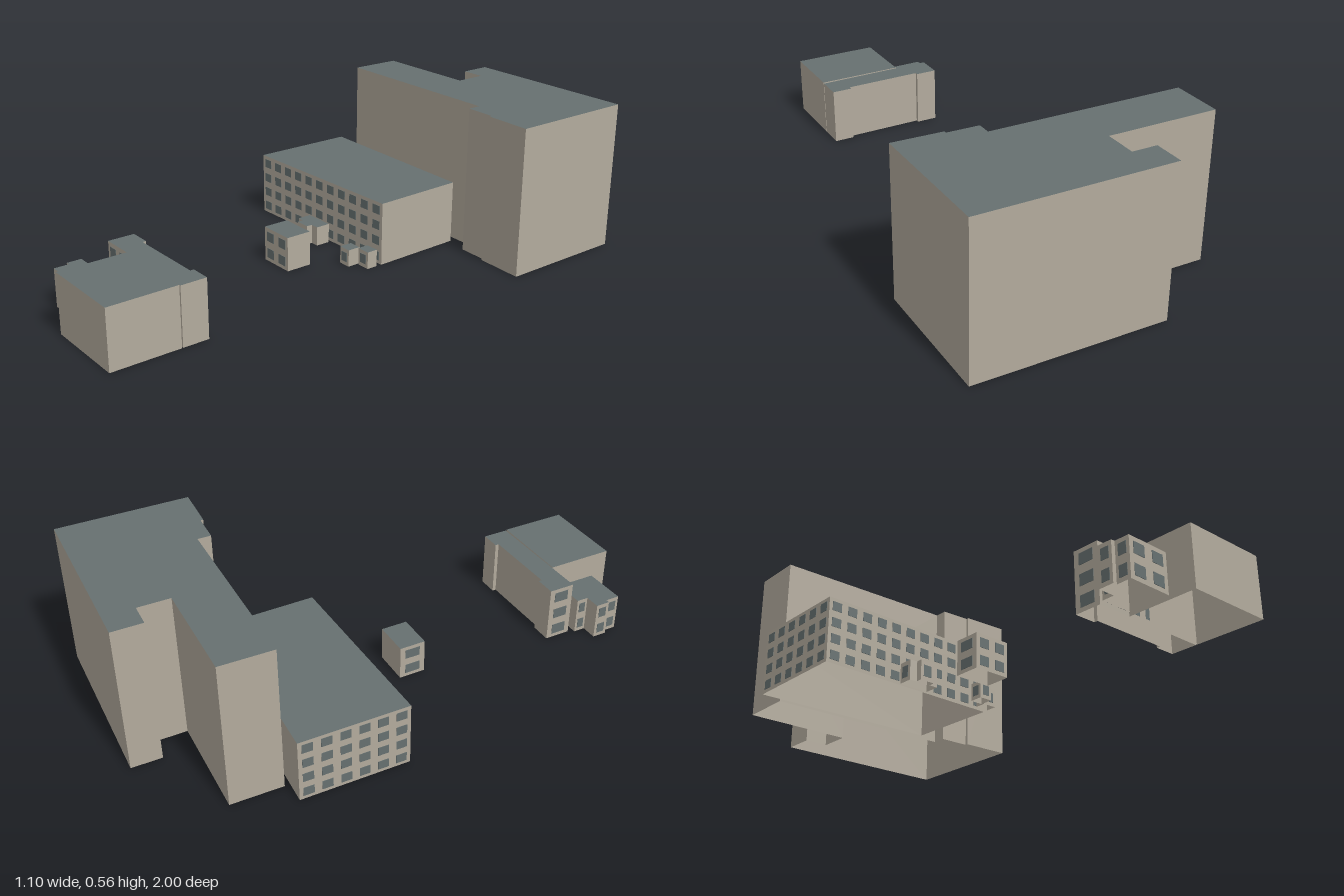
import * as THREE from 'three';
import { mergeGeometries } from 'three/addons/utils/BufferGeometryUtils.js';

const wallMat = new THREE.MeshStandardMaterial({ color: 0xb3ab9d, side: THREE.DoubleSide });
wallMat.name = 'stone wall';
const slateMat = new THREE.MeshStandardMaterial({ color: 0x667070, side: THREE.DoubleSide });
slateMat.name = 'slate and glass';

const rect = (x0, x1, z0, z1) => [[x0, z0], [x1, z0], [x1, z1], [x0, z1]];

// Footprints run [x, z] from the back left corner, clockwise from above
const BUILDINGS = [
  { name: 'tallBlock', height: 0.556, points: [
    [-0.143, -1], [0.548, -0.985], [0.546, -0.49], [0.365, -0.5], [0.365, -0.51], [0.25, -0.515],
    [0.25, -0.565], [-0.461, -0.582], [-0.457, -0.775], [-0.053, -0.767], [-0.053, -0.885], [-0.143, -0.887]] },
  { name: 'longBlock', height: 0.24, windows: true, points: [
    [-0.543, -0.566], [0.161, -0.538], [0.167, -0.178], [-0.548, -0.162]] },
  { name: 'steppedHut', height: 0.075, windows: true, points: [
    [-0.238, -0.16], [-0.12, -0.16], [-0.12, -0.103], [-0.153, -0.103], [-0.153, -0.08],
    [-0.21, -0.08], [-0.21, -0.103], [-0.238, -0.106]] },
  { name: 'frontShed', height: 0.065, windows: true, points: rect(0.058, 0.107, -0.122, -0.072) },
  { name: 'rearShed', height: 0.065, windows: true, points: rect(0.112, 0.165, -0.157, -0.114) },
  { name: 'middleHouse', height: 0.131, windows: true, points: rect(-0.137, 0.003, 0.027, 0.128) },
  { name: 'hall', height: 0.22, points: rect(-0.056, 0.267, 0.742, 1) },
  { name: 'hallRearWing', height: 0.217, windows: true, points: [
    [-0.187, 0.643], [-0.106, 0.643], [-0.106, 0.656], [0.19, 0.654], [0.19, 0.64],
    [0.267, 0.64], [0.267, 0.738], [-0.187, 0.743]] },
  { name: 'sideHouse', height: 0.143, windows: true, points: [
    [-0.262, 0.81], [-0.2, 0.81], [-0.2, 0.765], [-0.08, 0.765], [-0.08, 0.918],
    [-0.247, 0.92], [-0.247, 0.865], [-0.262, 0.865]] },
];

function addMesh(group, geometry, material, name) {
  const mesh = new THREE.Mesh(geometry, material);
  mesh.name = name;
  group.add(mesh);
}

// Evenly spaced window plates, in the wall's own plane
function windowGrid(length, height) {
  const cols = Math.max(1, Math.floor(length / 0.0645));
  const rows = Math.max(1, Math.floor(height / 0.06));
  const w = length / cols, h = height / rows;
  const plates = [];
  for (let c = 0; c < cols; c++) {
    for (let r = 0; r < rows; r++) {
      plates.push(new THREE.BoxGeometry(w * 0.58, h * 0.56, 0.003)
        .translate((c + 0.5) * w - length / 2, (r + 0.5) * h, 0));
    }
  }
  return plates;
}

function makeBuilding({ name, height, points, windows }) {
  const group = new THREE.Group();
  group.name = name;
  const walls = [], panes = [];
  points.forEach(([x0, z0], i) => {
    const [x1, z1] = points[(i + 1) % points.length];
    const dx = x1 - x0, dz = z1 - z0, length = Math.hypot(dx, dz);
    const place = (g) => g.rotateY(Math.atan2(dz, -dx)).translate((x0 + x1) / 2, 0, (z0 + z1) / 2);
    walls.push(place(new THREE.PlaneGeometry(length, height).translate(0, height / 2, 0)));
    // Only the front and right-hand walls carry windows
    const glazed = -dx / length > 0.7 || dz / length < -0.7;
    if (windows && glazed && length > 0.04) panes.push(...windowGrid(length, height).map(place));
  });
  addMesh(group, mergeGeometries(walls), wallMat, 'walls');
  if (panes.length) addMesh(group, mergeGeometries(panes), slateMat, 'windows');

  // Flat roof; the underside stays open
  const outline = new THREE.Shape(points.map(([x, z]) => new THREE.Vector2(x, -z)));
  const roof = new THREE.ShapeGeometry(outline).rotateX(-Math.PI / 2).translate(0, height, 0);
  addMesh(group, roof, slateMat, 'roof');
  return group;
}

export function createModel() {
  const model = new THREE.Group();
  model.name = 'buildingCluster';
  BUILDINGS.forEach((b) => model.add(makeBuilding(b)));
  return model;
}
